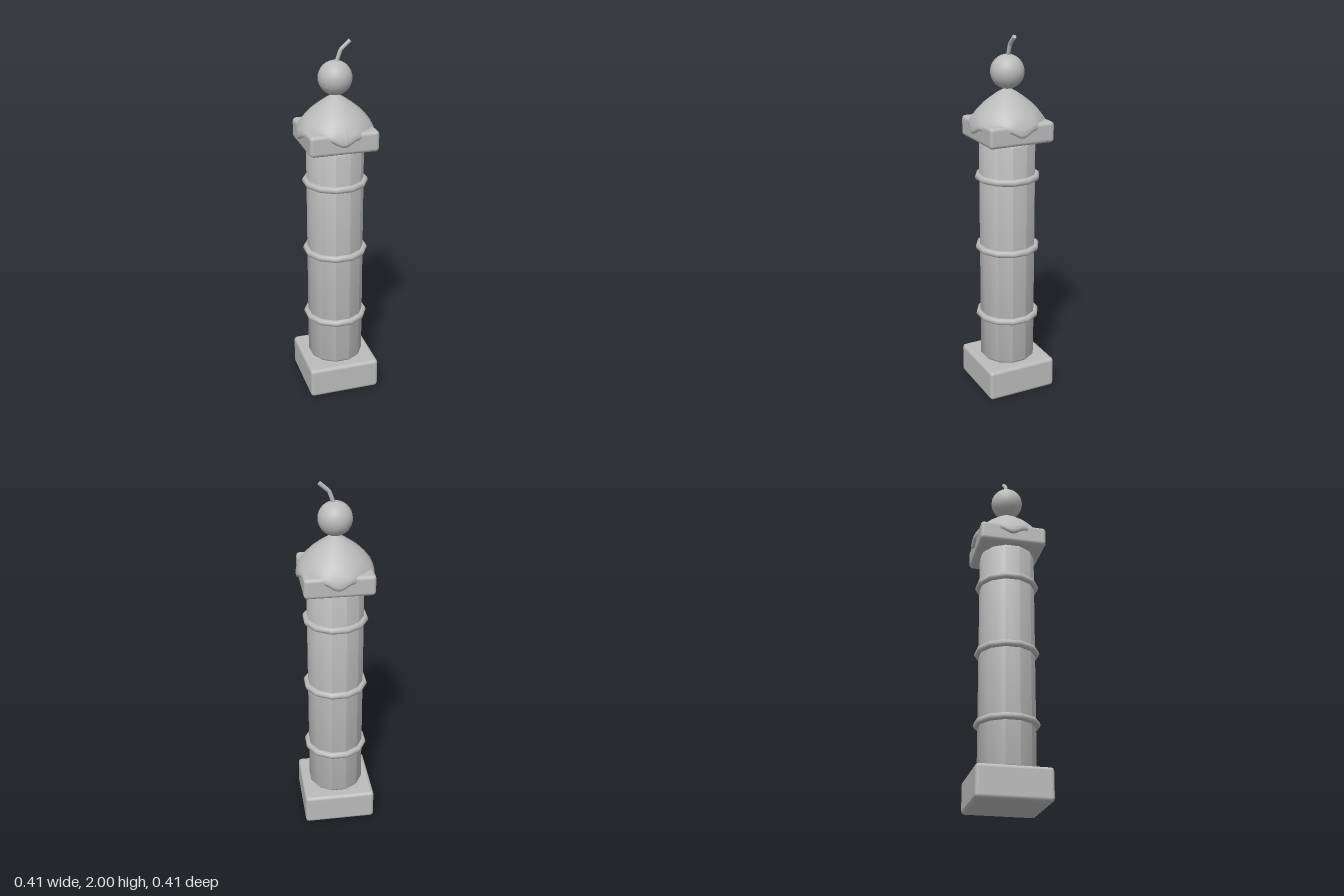
import * as THREE from 'three';
import { toCreasedNormals } from 'three/addons/utils/BufferGeometryUtils.js';
import { RoundedBoxGeometry } from 'three/addons/geometries/RoundedBoxGeometry.js';

const stone = new THREE.MeshStandardMaterial({ color: 0xbbbbbb, side: THREE.DoubleSide });
stone.name = 'plain grey';

const profile = (pairs) => pairs.map(([r, y]) => new THREE.Vector2(r, y));

export function createModel() {
  const model = new THREE.Group();
  model.name = 'toppedColumn';

  const add = (name, geometry, y = 0) => {
    const mesh = new THREE.Mesh(geometry, stone);
    mesh.name = name;
    mesh.position.y = y;
    model.add(mesh);
    return mesh;
  };

  // Square plinth and capital with softened edges
  add('base', new RoundedBoxGeometry(0.4, 0.174, 0.4, 2, 0.02), 0.087);
  add('capital', new RoundedBoxGeometry(0.372, 0.112, 0.372, 2, 0.02), 1.501);

  // Twelve-sided shaft with bevelled ends
  const shaft = new THREE.LatheGeometry(profile([
    [0, 0.17], [0.142, 0.17], [0.154, 0.186], [0.154, 1.432], [0.142, 1.446], [0, 1.446],
  ]), 12);
  shaft.rotateY(Math.PI / 12);
  add('shaft', toCreasedNormals(shaft, 0.7));

  // Three bands around the shaft
  for (const y of [0.437, 0.84, 1.243]) {
    const band = new THREE.TorusGeometry(0.159, 0.019, 8, 12);
    band.rotateX(Math.PI / 2);
    band.rotateY(Math.PI / 12);
    add('band', band, y);
  }

  // Pointed icing dome whose lower lip drips in waves
  const icing = new THREE.LatheGeometry(profile([
    [0.165, 1.53], [0.185, 1.508], [0.2, 1.506], [0.206, 1.522], [0.2, 1.546],
    [0.185, 1.575], [0.162, 1.605], [0.13, 1.638], [0.09, 1.67],
    [0.05, 1.698], [0.022, 1.714], [0, 1.72],
  ]), 64);
  const p = icing.attributes.position;
  for (let i = 0; i < p.count; i++) {
    const y = p.getY(i);
    const fade = THREE.MathUtils.clamp((1.575 - y) / 0.055, 0, 1);
    const angle = Math.atan2(p.getX(i), p.getZ(i));
    p.setY(i, y - 0.015 * fade * Math.cos(8 * angle + 0.4));
  }
  icing.computeVertexNormals();
  add('icing', icing);

  // Cherry and its bent stem
  add('cherry', new THREE.SphereGeometry(0.09, 24, 16), 1.804);
  const bend = new THREE.CurvePath();
  const points = [[0.004, 1.875], [0.03, 1.947], [0.08, 1.991]]
    .map(([x, y]) => new THREE.Vector3(x, y, 0));
  bend.add(new THREE.LineCurve3(points[0], points[1]));
  bend.add(new THREE.LineCurve3(points[1], points[2]));
  add('stem', new THREE.TubeGeometry(bend, 12, 0.011, 8));
  const tip = new THREE.CircleGeometry(0.011, 8);
  const cap = add('stemTip', tip);
  cap.position.copy(points[2]);
  cap.lookAt(points[2].clone().multiplyScalar(2).sub(points[1]));

  return model;
}
